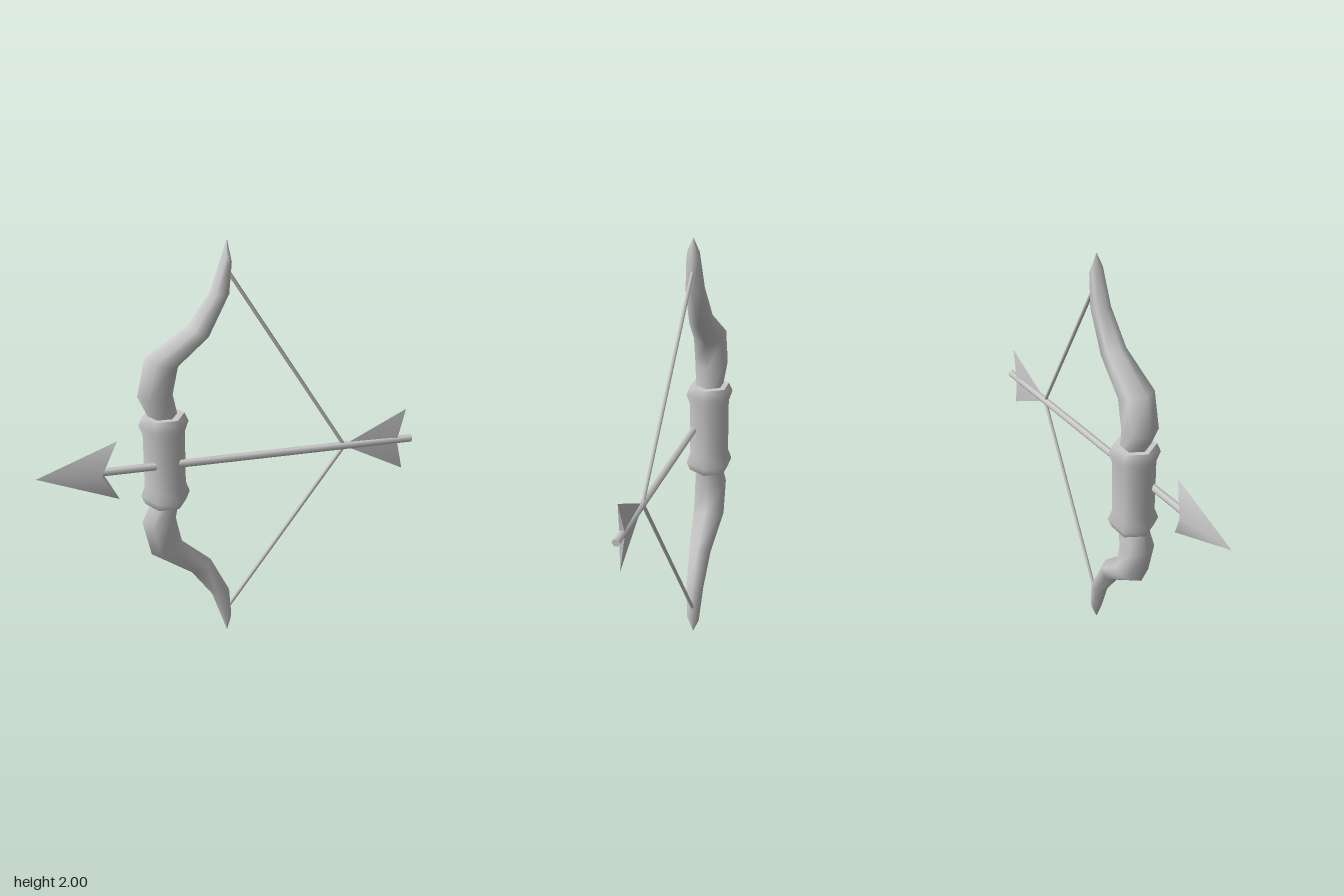
import * as THREE from 'three';
import { toCreasedNormals } from 'three/addons/utils/BufferGeometryUtils.js';

const material = new THREE.MeshStandardMaterial({ color: 0xcccccc });
const BOW_Z = -0.005, ARROW_Z = 0.06;

function addMesh(parent, name, geometry) {
  const mesh = new THREE.Mesh(geometry, material);
  mesh.name = name;
  parent.add(mesh);
  return mesh;
}

// Straight six-sided rod between two points
function addRod(parent, name, from, to, radius) {
  const a = new THREE.Vector3(...from), b = new THREE.Vector3(...to);
  const rod = addMesh(parent, name, new THREE.CylinderGeometry(radius, radius, a.distanceTo(b), 6));
  rod.position.copy(a).lerp(b, 0.5);
  rod.quaternion.setFromUnitVectors(new THREE.Vector3(0, 1, 0), b.sub(a).normalize());
}

// Hexagonal limb lofted through [leftX, leftY, rightX, rightY] outline pairs
function limbGeometry(pairs) {
  const positions = [], index = [], N = 6;
  for (const [lx, ly, rx, ry] of pairs) {
    const ux = (rx - lx) / 2, uy = (ry - ly) / 2, r = Math.hypot(ux, uy);
    for (let k = 0; k < N; k++) {
      const c = Math.cos(k * Math.PI / 3), s = Math.sin(k * Math.PI / 3);
      positions.push((lx + rx) / 2 + c * ux, (ly + ry) / 2 + c * uy, s * r);
    }
  }
  for (let i = 0; i < pairs.length - 1; i++) {
    for (let k = 0; k < N; k++) {
      const a = i * N + k, b = i * N + (k + 1) % N;
      index.push(a, a + N, b, b, a + N, b + N);
    }
  }
  const g = new THREE.BufferGeometry();
  g.setAttribute('position', new THREE.Float32BufferAttribute(positions, 3));
  g.setIndex(index);
  g.computeVertexNormals();
  return g;
}

// Swept-back barb pointing to -x, thickest at its rear notch
function barbGeometry(tipX, notchX, barbX, halfHeight, halfDepth) {
  const g = new THREE.BufferGeometry();
  g.setAttribute('position', new THREE.Float32BufferAttribute([
    tipX, 0, 0, barbX, halfHeight, 0, barbX, -halfHeight, 0,
    notchX, 0, halfDepth, notchX, 0, -halfDepth,
  ], 3));
  g.setIndex([0, 3, 1, 0, 2, 3, 0, 1, 4, 0, 4, 2, 1, 3, 4, 2, 4, 3]);
  return toCreasedNormals(g, 1.0);
}

export function createModel() {
  const model = new THREE.Group();
  model.name = 'bowAndArrow';

  const bow = new THREE.Group();
  bow.name = 'bow';
  bow.position.set(0, 1, BOW_Z);
  model.add(bow);

  // Grip with a flared collar at each end; repeated points keep the rims sharp
  const half = [[0, 0.222], [0.097, 0.222], [0.097, 0.222], [0.115, 0.18], [0.097, 0.13]];
  const profile = [
    ...half.map(([r, y]) => new THREE.Vector2(r, -y)),
    ...half.slice().reverse().map(([r, y]) => new THREE.Vector2(r, y)),
  ];
  const grip = addMesh(bow, 'grip', new THREE.LatheGeometry(profile, 6, Math.PI / 2));
  grip.position.x = -0.297;

  // Limbs: the lower one is the upper one turned over
  const limb = limbGeometry([
    [-0.35, 0.18, -0.225, 0.18],
    [-0.412, 0.32, -0.252, 0.315],
    [-0.373, 0.5, -0.225, 0.445],
    [-0.178, 0.633, -0.085, 0.57],
    [-0.078, 0.775, 0.008, 0.76],
    [-0.02, 0.95, 0.019, 0.9],
    [-0.004, 1, -0.002, 1],
  ]);
  addMesh(bow, 'upperLimb', limb);
  addMesh(bow, 'lowerLimb', limb).rotation.x = Math.PI;

  // Drawn string
  for (const [name, s] of [['upperString', 1], ['lowerString', -1]]) {
    addRod(model, name, [0.0, 1 + s * 0.865, BOW_Z], [0.55, 1, ARROW_Z], 0.009);
  }

  // Arrow
  const arrow = new THREE.Group();
  arrow.name = 'arrow';
  arrow.position.set(0, 1, ARROW_Z);
  model.add(arrow);
  addRod(arrow, 'shaft', [-0.61, 0, 0], [0.886, 0, 0], 0.018);
  addMesh(arrow, 'arrowhead', barbGeometry(-0.886, -0.6, -0.52, 0.145, 0.045));
  addMesh(arrow, 'fletching', barbGeometry(0.545, 0.81, 0.85, 0.155, 0.012));

  return model;
}
